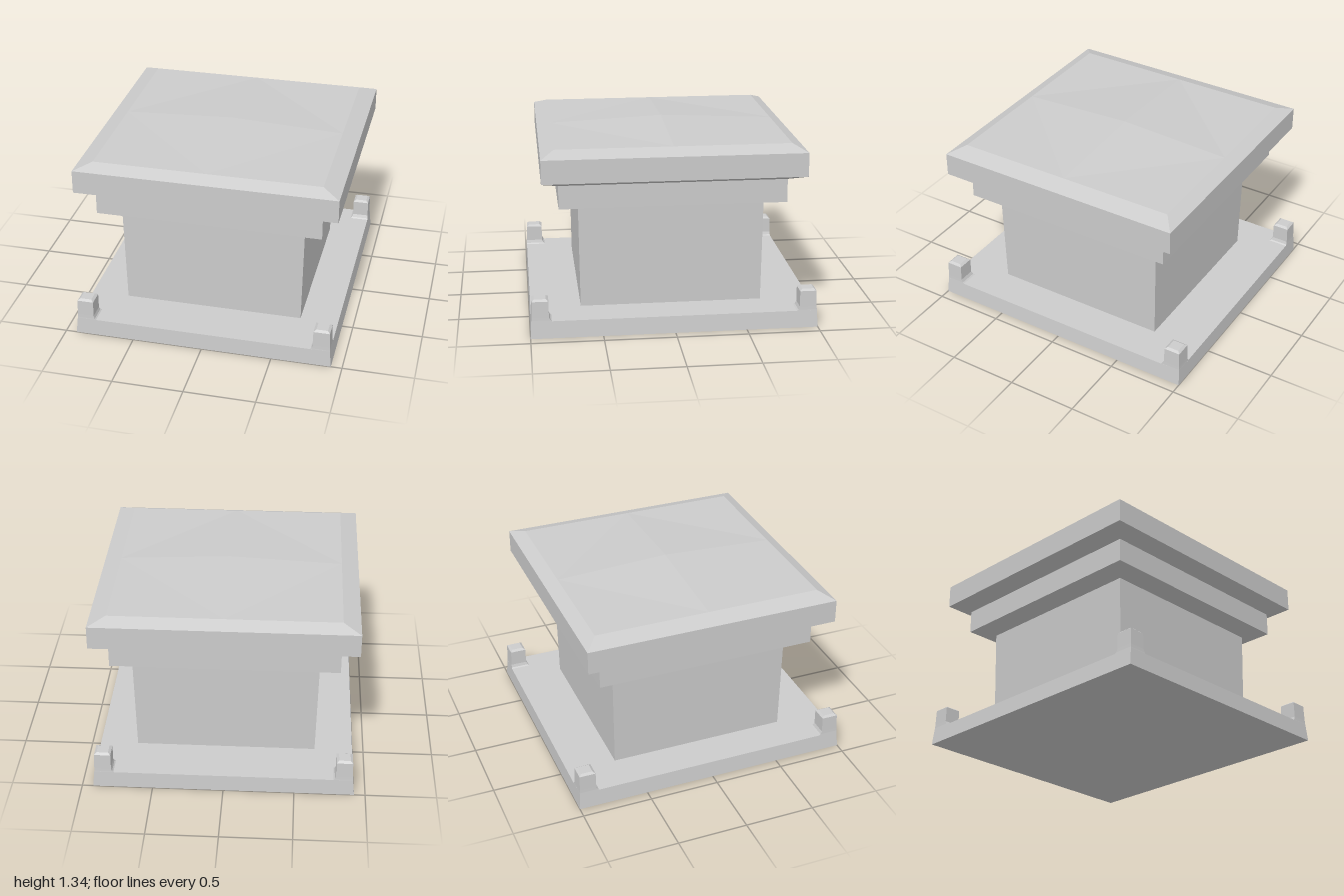
import * as THREE from 'three';

const material = new THREE.MeshStandardMaterial({ color: 0xcccccc, flatShading: true });

function meshFrom(name, points, index) {
  const indexed = new THREE.BufferGeometry();
  indexed.setAttribute('position', new THREE.Float32BufferAttribute(points.flat(), 3));
  indexed.setIndex(index);
  const geometry = indexed.toNonIndexed();
  geometry.computeVertexNormals();
  const mesh = new THREE.Mesh(geometry, material);
  mesh.name = name;
  return mesh;
}

// Stack of rectangles, bottom to top: each ring is [y, x0, x1, z0, z1]
function loft(name, rings, closeTop = true) {
  const points = [];
  const index = [];
  for (const [y, x0, x1, z0, z1] of rings) {
    points.push([x0, y, z1], [x1, y, z1], [x1, y, z0], [x0, y, z0]);
  }
  for (let r = 0; r < rings.length - 1; r++) {
    for (let i = 0; i < 4; i++) {
      const a = r * 4 + i, b = r * 4 + (i + 1) % 4;
      index.push(a, b, b + 4, a, b + 4, a + 4);
    }
  }
  index.push(0, 2, 1, 0, 3, 2);
  const t = points.length - 4;
  if (closeTop) index.push(t, t + 1, t + 2, t, t + 2, t + 3);
  return meshFrom(name, points, index);
}

// Centred ring from a height and half sizes
const ring = (y, hx, hz) => [y, -hx, hx, -hz, hz];

export function createModel() {
  const group = new THREE.Group();

  // Base slab with slightly sloping sides
  group.add(loft('baseSlab', [ring(0, 0.922, 1), ring(0.12, 0.91, 0.993)]));

  // Corner posts with a flared inner foot and chamfered top
  const postRings = [ // y, inner x, outer x, inner z, outer z
    [0.118, 0.772, 0.91, 0.85, 0.993],
    [0.128, 0.783, 0.909, 0.862, 0.992],
    [0.15, 0.79, 0.908, 0.872, 0.991],
    [0.262, 0.79, 0.905, 0.872, 0.988],
    [0.275, 0.808, 0.888, 0.89, 0.971],
  ];
  for (const sx of [-1, 1]) {
    for (const sz of [-1, 1]) {
      const rings = postRings.map(([y, xi, xo, zi, zo]) => [
        y,
        Math.min(sx * xi, sx * xo), Math.max(sx * xi, sx * xo),
        Math.min(sz * zi, sz * zo), Math.max(sz * zi, sz * zo),
      ]);
      group.add(loft(`${sz > 0 ? 'front' : 'back'}${sx > 0 ? 'Left' : 'Right'}Post`, rings));
    }
  }

  // Column, widening a little upward
  group.add(loft('column', [ring(0.12, 0.64, 0.64), ring(0.85, 0.655, 0.648)]));

  // Stepped collar and cap
  group.add(loft('collar', [
    ring(0.85, 0.655, 0.648), ring(0.88, 0.795, 0.785), ring(1.045, 0.795, 0.785),
  ]));
  const hx = 0.795, hz = 0.81, edgeY = 1.297;
  group.add(loft('cap', [
    ring(1.045, 0.795, 0.785), ring(1.09, 0.917, 0.902),
    ring(1.255, 0.917, 0.902), ring(edgeY, hx, hz),
  ], false));

  // Cap top: low diamond pyramid with flat corners
  const outline = [
    [-1, 1], [0, 1], [1, 1], [1, 0], [1, -1], [0, -1], [-1, -1], [-1, 0],
  ];
  const points = outline.map(([x, z]) => [x * hx, edgeY, z * hz]);
  points.push([0, 1.335, 0]);
  const index = [];
  for (let c = 0; c < 8; c += 2) {
    const before = (c + 7) % 8, after = c + 1;
    index.push(before, c, after, before, after, 8);
  }
  group.add(meshFrom('capTop', points, index));

  return group;
}
